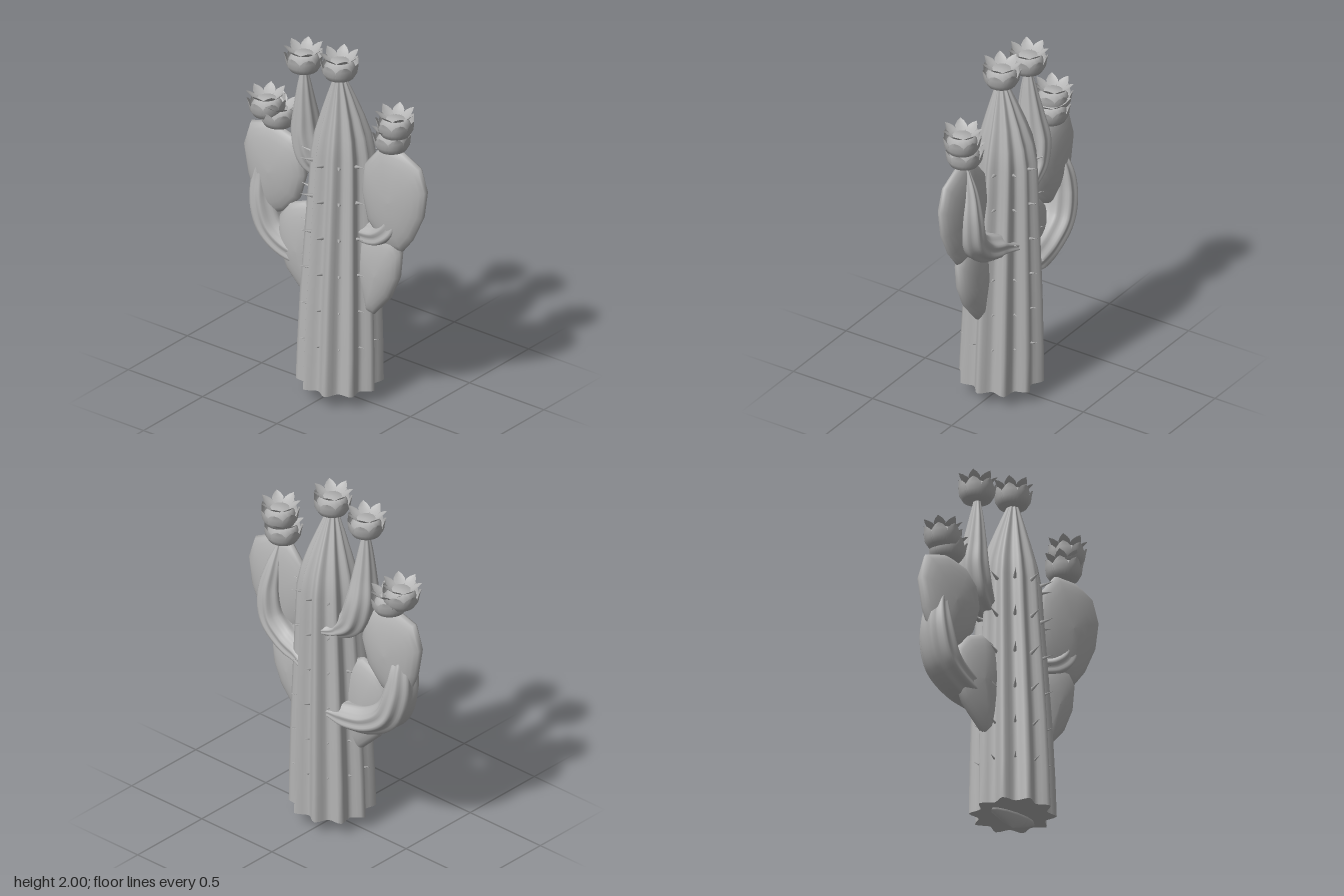
import * as THREE from 'three';
import { mergeGeometries } from 'three/addons/utils/BufferGeometryUtils.js';

const skin = new THREE.MeshStandardMaterial({ color: 0xb4b4b4, side: THREE.DoubleSide });
skin.name = 'plain grey';
const V = (x, y, z) => new THREE.Vector3(x, y, z);

function mesh(name, geometry) {
  const m = new THREE.Mesh(geometry, skin);
  m.name = name;
  return m;
}

// Smooth skin over closed rings; each ring runs counterclockwise seen from the far end
function loft(rings) {
  const n = rings[0].length, pos = [], idx = [];
  rings.forEach(ring => ring.forEach(p => pos.push(p.x, p.y, p.z)));
  for (let i = 0; i < rings.length - 1; i++) {
    for (let j = 0; j < n; j++) {
      const k = (j + 1) % n, a = i * n + j, b = i * n + k;
      idx.push(a, b, b + n, a, b + n, a + n);
    }
  }
  const g = new THREE.BufferGeometry();
  g.setAttribute('position', new THREE.Float32BufferAttribute(pos, 3));
  g.setIndex(idx);
  g.computeVertexNormals();
  return g;
}

// Ribbed trunk: rows of height, radius, backward lean
const TRUNK_X = 0.025, RIBS = 10;
function trunk() {
  const group = new THREE.Group();
  group.name = 'trunk';
  const rows = [[0.075, 0.232, 0], [0.3, 0.227, -0.004], [0.6, 0.216, -0.01], [0.95, 0.197, -0.018],
    [1.25, 0.18, -0.026], [1.42, 0.171, -0.029], [1.53, 0.15, -0.028], [1.64, 0.115, -0.022],
    [1.75, 0.075, -0.012], [1.84, 0.04, -0.003], [1.88, 0.025, 0]];
  const ring = ([y, r, z], scale = 1) => Array.from({ length: 80 }, (_, i) => {
    const a = i / 80 * Math.PI * 2;
    const rib = 1 - Math.abs(Math.cos(a * RIBS / 2)) ** 1.5;
    const rr = r * scale * (0.8 + 0.2 * rib);
    return V(TRUNK_X + rr * Math.sin(a), y, z + rr * Math.cos(a));
  });
  group.add(mesh('trunkBody', loft(rows.map(r => ring(r)))));
  group.add(mesh('trunkBase', loft([ring(rows[0], 0.001), ring(rows[0])])));

  // Pointed, flattened root under the base
  const profile = [[0, 0], [0.08, 0.025], [0.15, 0.06], [0.14, 0.08]].map(p => new THREE.Vector2(...p));
  const root = mesh('root', new THREE.LatheGeometry(profile, 12));
  root.scale.z = 0.28;
  root.position.x = TRUNK_X;
  group.add(root);
  return group;
}

// Rows of small thorns in the grooves
function spines() {
  const parts = [];
  for (let c = 0; c < RIBS; c++) {
    for (let k = 0; k < 6; k++) {
      const g = new THREE.ConeGeometry(0.011, 0.075, 5);
      g.rotateX(Math.PI / 2 - 0.3).translate(0, 0, 0.187);
      g.rotateY(c / RIBS * Math.PI * 2).translate(TRUNK_X, 0.335 + k * 0.213, -0.004);
      parts.push(g);
    }
  }
  return mesh('spines', mergeGeometries(parts));
}

// Flat rounded pad swelling out from an outline in x and y
function pad(name, outline, thickness, z = 0) {
  const pts = outline.map(p => new THREE.Vector2(...p));
  if (THREE.ShapeUtils.isClockWise(pts)) pts.reverse();
  const box = new THREE.Box2().setFromPoints(pts), c = box.getCenter(new THREE.Vector2());
  const rings = [];
  for (let i = 0; i <= 12; i++) {
    const a = (i / 12 - 0.5) * Math.PI, s = Math.max(Math.cos(a), 0.001);
    rings.push(pts.map(p => V(c.x + (p.x - c.x) * s, c.y + (p.y - c.y) * s, z + thickness * Math.sin(a))));
  }
  return mesh(name, loft(rings));
}

// Ribbed, tapering arm along a curve; deep widens it in z
function arm(name, points, radii, deep) {
  const curve = new THREE.CatmullRomCurve3(points.map(p => V(...p)));
  const size = new THREE.SplineCurve(radii.map((r, i) => new THREE.Vector2(i, r)));
  const rings = [], steps = 36;
  for (let i = 0; i <= steps; i++) {
    const t = i / steps, c = curve.getPoint(t), dir = curve.getTangent(t);
    const b = V(0, 0, 1).addScaledVector(dir, -dir.z).normalize();
    const n = b.clone().cross(dir);
    const r = Math.max(size.getPoint(t).y, 0.002);
    rings.push(Array.from({ length: 48 }, (_, j) => {
      const a = j / 48 * Math.PI * 2;
      const rr = r * (0.86 + 0.14 * (1 - Math.abs(Math.cos(a * 4)) ** 1.5));
      return c.clone().addScaledVector(n, rr * Math.cos(a)).addScaledVector(b, rr * deep * Math.sin(a));
    }));
  }
  return mesh(name, loft(rings));
}

// Ring of petals bent from strips; rows of radius, height, half width
function petals(name, rows, count) {
  const parts = [];
  for (let k = 0; k < count; k++) {
    const g = new THREE.PlaneGeometry(2, 1, 4, rows.length - 1);
    const p = g.attributes.position;
    for (let i = 0; i < p.count; i++) {
      const [r, y, w] = rows[rows.length - 1 - Math.floor(i / 5)], s = p.getX(i);
      p.setXYZ(i, w * s, y, r - 0.25 * w * s * s);
    }
    g.computeVertexNormals();
    parts.push(g.rotateY(k / count * Math.PI * 2));
  }
  return mesh(name, mergeGeometries(parts));
}

function flower(x, y, z, tilt = 0) {
  const group = new THREE.Group();
  group.name = 'flower';
  group.add(petals('cupPetals', [[0.03, 0, 0.014], [0.076, 0.008, 0.036], [0.095, 0.04, 0.045],
    [0.1, 0.075, 0.04], [0.104, 0.095, 0.022], [0.107, 0.105, 0.001]], 7));
  group.add(petals('starPetals', [[0.045, 0.098, 0.016], [0.065, 0.108, 0.03], [0.083, 0.12, 0.031],
    [0.097, 0.134, 0.019], [0.108, 0.145, 0.001]], 7));
  const core = [[0, 0], [0.05, 0.003], [0.078, 0.03], [0.082, 0.07], [0.06, 0.1], [0, 0.102]];
  group.add(mesh('core', new THREE.LatheGeometry(core.map(p => new THREE.Vector2(...p)), 14)));
  group.position.set(x, y, z);
  group.rotation.z = tilt;
  return group;
}

export function createModel() {
  const model = new THREE.Group();
  model.name = 'cactus';
  model.add(trunk(), spines());

  model.add(pad('leftUpperPad', [[-0.44, 1.45], [-0.575, 1.41], [-0.62, 1.27], [-0.59, 1.1], [-0.53, 0.95],
    [-0.44, 0.9], [-0.34, 0.95], [-0.25, 1.05], [-0.205, 1.2], [-0.225, 1.33], [-0.3, 1.41]], 0.07, -0.01));
  model.add(pad('leftLowerPad', [[-0.2, 1.055], [-0.3, 1.02], [-0.37, 0.93], [-0.385, 0.77], [-0.32, 0.62],
    [-0.18, 0.485], [-0.13, 0.49], [-0.07, 0.65], [-0.06, 0.85], [-0.12, 1.02]], 0.065));
  model.add(pad('rightUpperPad', [[0.32, 1.555], [0.45, 1.55], [0.57, 1.49], [0.613, 1.36], [0.59, 1.2],
    [0.52, 1.05], [0.45, 0.96], [0.35, 0.95], [0.22, 1.08], [0.18, 1.25], [0.2, 1.41]], 0.063));
  model.add(pad('rightLowerPad', [[0.445, 0.95], [0.43, 0.8], [0.37, 0.66], [0.26, 0.53], [0.21, 0.54],
    [0.16, 0.75], [0.18, 0.95], [0.3, 1.04], [0.4, 1.03]], 0.06));

  model.add(arm('leftArm', [[-0.02, 0.73, -0.13], [-0.13, 0.72, -0.07], [-0.3, 0.74, -0.04], [-0.43, 0.83, -0.03],
    [-0.485, 0.98, -0.02], [-0.49, 1.13, -0.01], [-0.46, 1.32, 0.04]],
    [0.03, 0.075, 0.085, 0.09, 0.085, 0.06, 0.002], 1.3));
  model.add(arm('rightArm', [[0.06, 0.94, -0.15], [0.17, 0.97, -0.07], [0.3, 1.01, -0.04], [0.39, 1.1, -0.04],
    [0.415, 1.25, -0.045], [0.4, 1.4, -0.035], [0.385, 1.55, -0.01]],
    [0.03, 0.07, 0.08, 0.08, 0.07, 0.045, 0.012], 1.3));
  model.add(arm('topLeftArm', [[-0.01, 1.22, -0.17], [-0.09, 1.23, -0.09], [-0.18, 1.3, -0.05],
    [-0.22, 1.43, -0.035], [-0.222, 1.58, -0.02], [-0.22, 1.72, -0.01], [-0.218, 1.85, -0.005]],
    [0.02, 0.055, 0.085, 0.088, 0.065, 0.04, 0.016], 1.15));

  model.add(flower(TRUNK_X, 1.855, 0), flower(-0.22, 1.82, -0.005));
  model.add(flower(0.38, 1.54, 0, 0.03), flower(0.4, 1.632, 0));
  model.add(flower(-0.46, 1.48, 0, 0.05), flower(-0.41, 1.43, -0.025, -0.04));
  return model;
}
